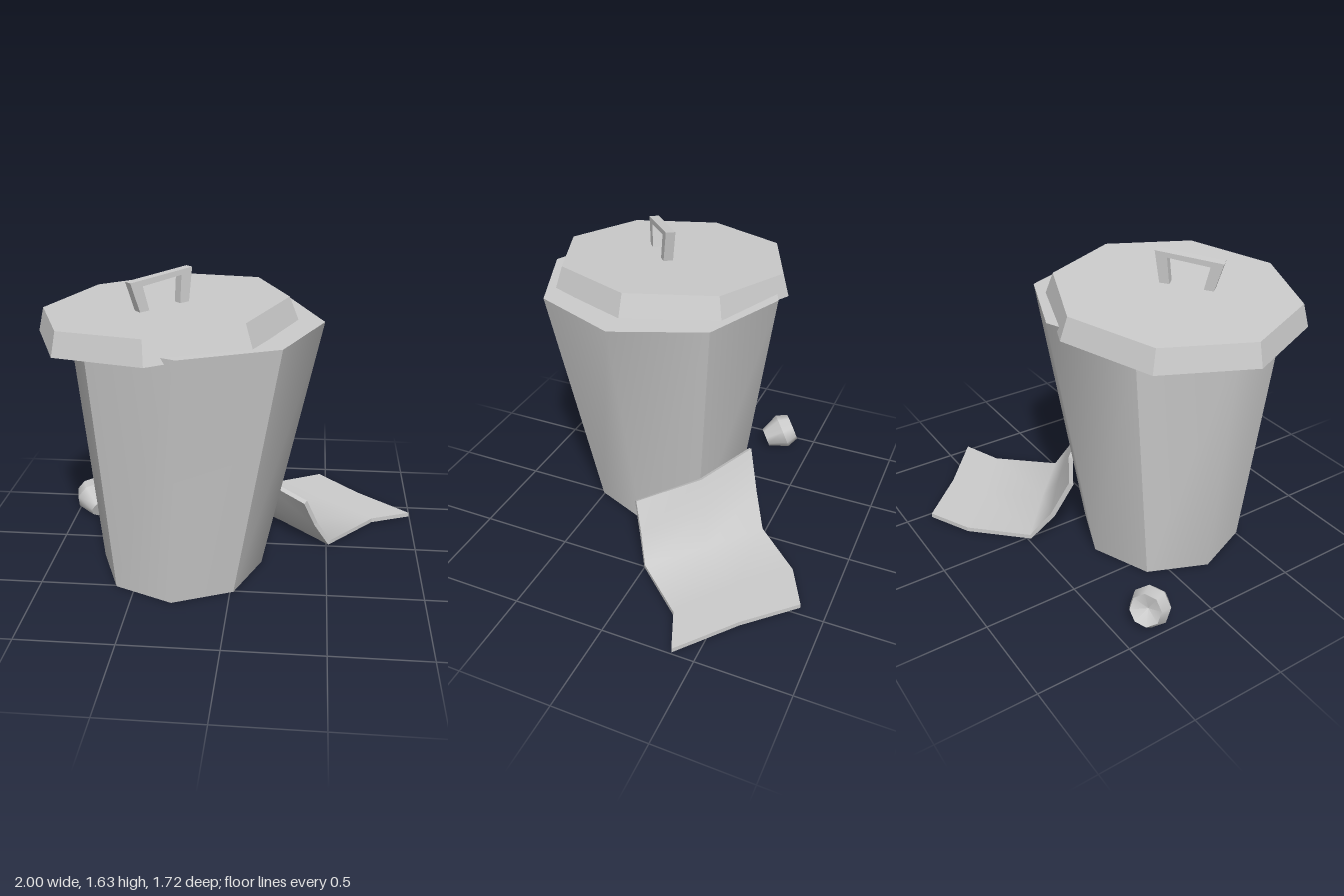
import * as THREE from 'three';

const smooth = new THREE.MeshStandardMaterial({ color: 0xcccccc });
const faceted = new THREE.MeshStandardMaterial({ color: 0xcccccc, flatShading: true });

function add(parent, name, geometry, material = smooth) {
  const mesh = new THREE.Mesh(geometry, material);
  mesh.name = name;
  parent.add(mesh);
  return mesh;
}

// Leaning octagonal bin: four softly shaded pairs of panels plus end caps
function createBin() {
  const bin = new THREE.Group();
  bin.name = 'bin';
  const top = 0.645, bottom = 0.435, height = 1.375;
  const lean = new THREE.Matrix4().makeShear(0, 0, 0.09 / height, 0, 0, 0);
  lean.elements.splice(0, 16, 1, 0, 0, 0, 0.09 / height, 1, 0, 0, 0, 0, 1, 0, 0, 0, 0, 1);
  for (let k = 0; k < 4; k++) {
    const panel = new THREE.CylinderGeometry(top, bottom, height, 2, 1, true, Math.PI / 4 + k * Math.PI / 2, Math.PI / 2);
    panel.applyMatrix4(lean);
    panel.computeVertexNormals();
    add(bin, 'binPanel', panel);
  }
  add(bin, 'binTop', new THREE.CircleGeometry(top, 8).rotateX(-Math.PI / 2)).position.set(0.045, height / 2, 0);
  add(bin, 'binBase', new THREE.CircleGeometry(bottom, 8).rotateX(Math.PI / 2)).position.set(-0.045, -height / 2, 0);
  bin.position.set(-0.245, 0.015 + height / 2, 0.2);
  return bin;
}

// Tilted lid, pushed to one side, with an arched handle
function createLid() {
  const lid = new THREE.Group();
  lid.name = 'lid';
  add(lid, 'lidDisc', new THREE.CylinderGeometry(0.618, 0.655, 0.118, 8).translate(0, 0.059, 0), faceted);
  const outline = [
    [-0.135, -0.01], [-0.085, -0.01], [-0.108, 0.122], [0.108, 0.137],
    [0.085, -0.01], [0.135, -0.01], [0.172, 0.166], [-0.172, 0.148],
  ].map(([x, y]) => new THREE.Vector2(x, y));
  const handle = new THREE.ExtrudeGeometry(new THREE.Shape(outline), { depth: 0.052, bevelEnabled: false });
  const mesh = add(lid, 'handle', handle.translate(0, 0, -0.026), faceted);
  mesh.position.set(0, 0.118, 0.073);
  mesh.rotation.y = 0.69;
  lid.position.set(-0.34, 1.355, 0.2);
  lid.rotation.z = 0.067;
  return lid;
}

// Bent sheet: rows run from the flat far end to the edge leaning on the bin
function createSheet() {
  const rows = [
    [[0.46, 0.045, -0.865], [0.70, 0.045, -0.62], [0.995, 0.045, -0.38]],
    [[0.23, 0.045, -0.75], [0.48, 0.045, -0.51], [0.77, 0.045, -0.29]],
    [[-0.02, 0.045, -0.49], [0.25, 0.045, -0.26], [0.52, 0.045, -0.01]],
    [[-0.12, 0.22, -0.41], [0.16, 0.19, -0.20], [0.445, 0.19, 0.045]],
    [[-0.20, 0.44, -0.34], [0.10, 0.375, -0.16], [0.385, 0.35, 0.10]],
  ];
  const cols = 3, last = rows.length - 1, thickness = 0.025;
  const upper = [], lower = [];
  for (let r = 0; r < last; r++) {
    for (let c = 0; c < cols - 1; c++) {
      const a = r * cols + c, b = a + cols;
      upper.push(a, b, a + 1, b, b + 1, a + 1);
      lower.push(a, a + 1, b, b, a + 1, b + 1);
    }
  }
  const surface = (points, index) => {
    const g = new THREE.BufferGeometry().setFromPoints(points);
    if (index) g.setIndex(index);
    g.computeVertexNormals();
    return g;
  };
  const front = rows.flat().map((p) => new THREE.Vector3(...p));
  const frontGeometry = surface(front, upper);
  const normals = frontGeometry.attributes.normal;
  const back = front.map((p, i) =>
    new THREE.Vector3().fromBufferAttribute(normals, i).multiplyScalar(-thickness).add(p));

  // Thin border around the perimeter
  const loop = [];
  for (let r = 0; r < last; r++) loop.push(r * cols);
  for (let c = 0; c < cols - 1; c++) loop.push(last * cols + c);
  for (let r = last; r > 0; r--) loop.push(r * cols + cols - 1);
  for (let c = cols - 1; c > 0; c--) loop.push(c);
  const border = [];
  loop.forEach((p, i) => {
    const q = loop[(i + 1) % loop.length];
    border.push(front[p], back[p], front[q], back[p], back[q], front[q]);
  });

  const sheet = new THREE.Group();
  sheet.name = 'bentSheet';
  add(sheet, 'sheetFront', frontGeometry);
  add(sheet, 'sheetBack', surface(back, lower));
  add(sheet, 'sheetBorder', surface(border));
  return sheet;
}

// Small fruit lying on its side, with a dimple in its upper end
function createFruit() {
  const fruit = new THREE.Group();
  fruit.name = 'fruit';
  const profile = [[0, -0.098], [0.056, -0.098], [0.107, 0.015], [0.083, 0.085], [0, 0.045]]
    .map(([x, y]) => new THREE.Vector2(x, y));
  for (let i = 0; i < profile.length - 1; i++) {
    add(fruit, 'fruitBand', new THREE.LatheGeometry([profile[i], profile[i + 1]], 8));
  }
  fruit.position.set(-0.895, 0.107, -0.298);
  const axis = new THREE.Vector3(-0.5, 0.36, -0.79).normalize();
  fruit.quaternion.setFromUnitVectors(new THREE.Vector3(0, 1, 0), axis);
  return fruit;
}

export function createModel() {
  const model = new THREE.Group();
  model.name = 'trashCan';
  model.add(createBin(), createLid(), createSheet(), createFruit());
  return model;
}
